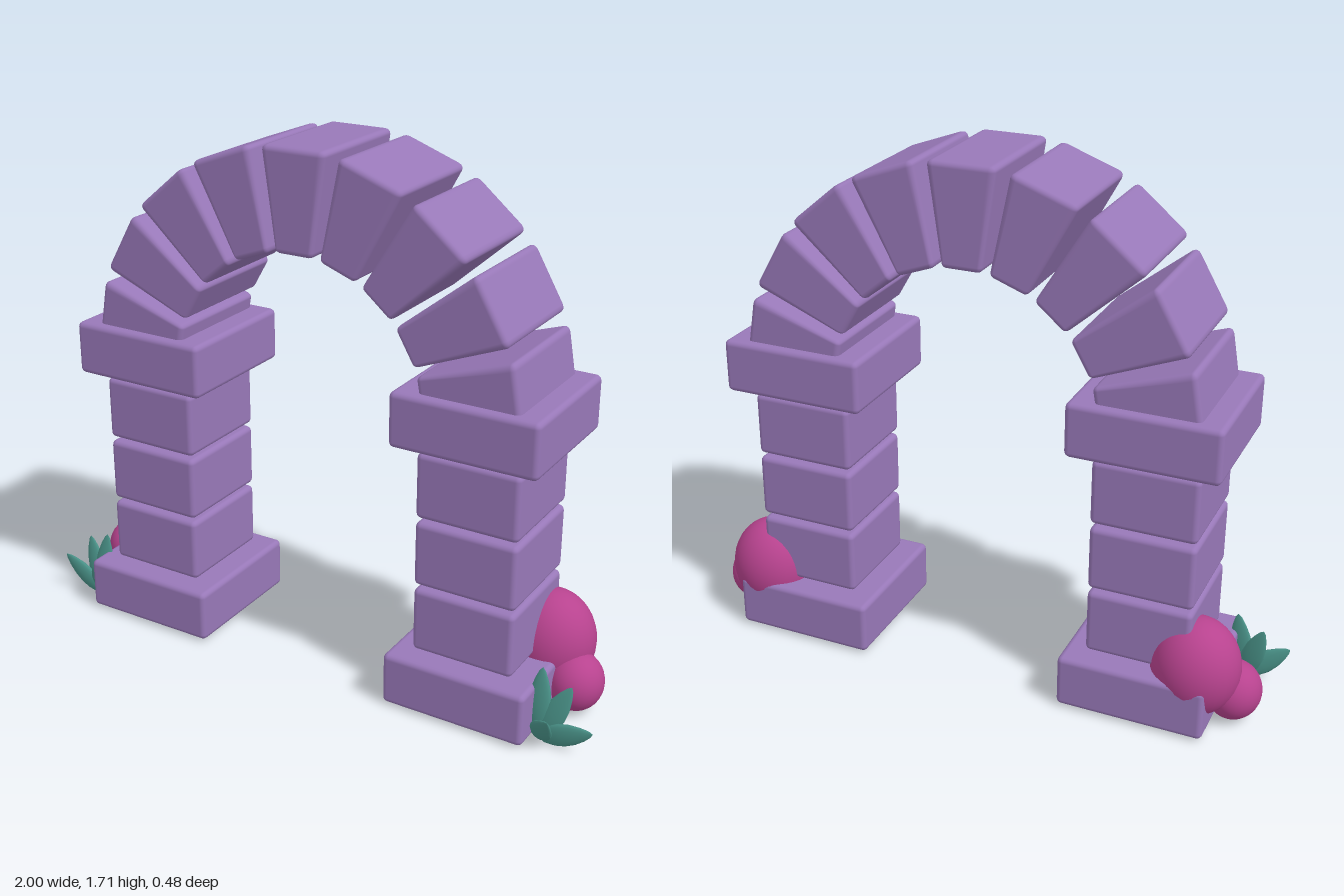
import * as THREE from 'three';
import { RoundedBoxGeometry } from 'three/addons/geometries/RoundedBoxGeometry.js';

const CX = -0.015; // symmetry axis of the arch
const ARCH_Y = 0.96, R_IN = 0.43, R_OUT = 0.75;

const stone = new THREE.MeshStandardMaterial({ color: 0x9878b8 });
stone.name = 'purple stone';
const pink = new THREE.MeshStandardMaterial({ color: 0xb8438f });
pink.name = 'pink bush';
const teal = new THREE.MeshStandardMaterial({ color: 0x4b958b });
teal.name = 'teal leaf';

function add(parent, name, geometry, material, x = 0, y = 0, z = 0) {
  const mesh = new THREE.Mesh(geometry, material);
  mesh.name = name;
  mesh.position.set(x, y, z);
  parent.add(mesh);
  return mesh;
}

// Rounded block spanning y0..y1 and z0..z1
function block(parent, name, x, width, y0, y1, z0, z1) {
  const g = new RoundedBoxGeometry(width, y1 - y0, z1 - z0, 2, 0.018);
  add(parent, name, g, stone, x, (y0 + y1) / 2, (z0 + z1) / 2);
}

// Rounded block whose width grows with the distance from the arch centre
function wedgeGeometry() {
  const mid = (R_IN + R_OUT) / 2;
  const g = new RoundedBoxGeometry(0.174, R_OUT - R_IN, 0.395, 2, 0.018);
  const p = g.attributes.position, n = g.attributes.normal;
  const v = new THREE.Vector3();
  for (let i = 0; i < p.count; i++) {
    const x = p.getX(i), s = 1 + p.getY(i) / mid;
    p.setX(i, x * s);
    v.fromBufferAttribute(n, i);
    v.set(v.x / s, v.y - v.x * x / (mid * s), v.z).normalize();
    n.setXYZ(i, v.x, v.y, v.z);
  }
  return g;
}

// Pointed, flattened leaf of unit length along +y
function leafGeometry() {
  const profile = [[0, 0], [0.1, 0.1], [0.155, 0.28], [0.17, 0.45], [0.15, 0.64], [0.1, 0.82], [0.045, 0.95], [0, 1]];
  return new THREE.LatheGeometry(profile.map(([r, y]) => new THREE.Vector2(r, y)), 14);
}

function addLeaf(parent, geometry, root, tip) {
  const a = new THREE.Vector3(...root), d = new THREE.Vector3(...tip).sub(a);
  const length = d.length();
  const leaf = add(parent, 'leaf', geometry, teal, a.x, a.y, a.z);
  const up = d.normalize();
  const front = new THREE.Vector3(0, 0, 1).addScaledVector(up, -up.z).normalize();
  const side = new THREE.Vector3().crossVectors(up, front);
  leaf.quaternion.setFromRotationMatrix(new THREE.Matrix4().makeBasis(side, up, front));
  leaf.scale.set(0.22, length, 0.075);
}

export function createModel() {
  const model = new THREE.Group();
  model.name = 'stoneArch';

  // Arch of nine wedge stones
  const arch = new THREE.Group();
  arch.name = 'arch';
  model.add(arch);
  const wedge = wedgeGeometry();
  const mid = (R_IN + R_OUT) / 2;
  for (let i = -4; i <= 4; i++) {
    const a = THREE.MathUtils.degToRad(i * 20);
    const m = add(arch, i === 0 ? 'keystone' : 'archStone', wedge, stone,
      CX + mid * Math.sin(a), ARCH_Y + mid * Math.cos(a), 0.002);
    m.rotation.z = -a;
  }

  const ball = new THREE.SphereGeometry(1, 32, 20);
  for (const side of [1, -1]) {
    const prefix = side > 0 ? 'left' : 'right';

    // Pillar: base, three stones and cap
    const pillar = new THREE.Group();
    pillar.name = prefix + 'Pillar';
    model.add(pillar);
    const x = CX + side * 0.58;
    block(pillar, 'base', x, 0.478, 0.004, 0.178, -0.235, 0.24);
    for (let i = 0; i < 3; i++) {
      const y = 0.188 + i * 0.226;
      block(pillar, 'pillarStone', x, 0.338, y, y + 0.213, -0.172, 0.18);
    }
    block(pillar, 'cap', x, 0.478, 0.874, 1.05, -0.225, 0.23);

    // Bush: a large and a small lobe
    const bush = new THREE.Group();
    bush.name = prefix + 'Bush';
    model.add(bush);
    const big = add(bush, 'largeLobe', ball, pink, CX + side * 0.755, 0.192, -0.11);
    big.scale.set(0.142, 0.163, 0.132);
    const small = add(bush, 'smallLobe', ball, pink, CX + side * 0.865, 0.098, -0.055);
    small.scale.set(0.09, 0.096, 0.092);
  }

  // Leaf tufts: root and tip of each leaf
  const leaf = leafGeometry();
  const tufts = {
    leftTuft: [
      [[0.82, 0.02, 0.16], [0.82, 0.24, 0.14]],
      [[0.83, 0.01, 0.16], [0.915, 0.2, 0.14]],
      [[0.82, 0.01, 0.16], [1.0, 0.085, 0.17]],
      [[0.82, 0.01, 0.165], [0.88, 0.12, 0.235]],
    ],
    rightTuft: [
      [[-0.86, 0.01, 0.165], [-0.83, 0.24, 0.15]],
      [[-0.86, 0.01, 0.16], [-0.92, 0.205, 0.135]],
      [[-0.85, 0.01, 0.165], [-1.0, 0.13, 0.18]],
      [[-0.83, 0.01, 0.165], [-0.86, 0.13, 0.2]],
    ],
  };
  for (const [name, leaves] of Object.entries(tufts)) {
    const tuft = new THREE.Group();
    tuft.name = name;
    model.add(tuft);
    for (const [root, tip] of leaves) addLeaf(tuft, leaf, root, tip);
  }

  return model;
}
